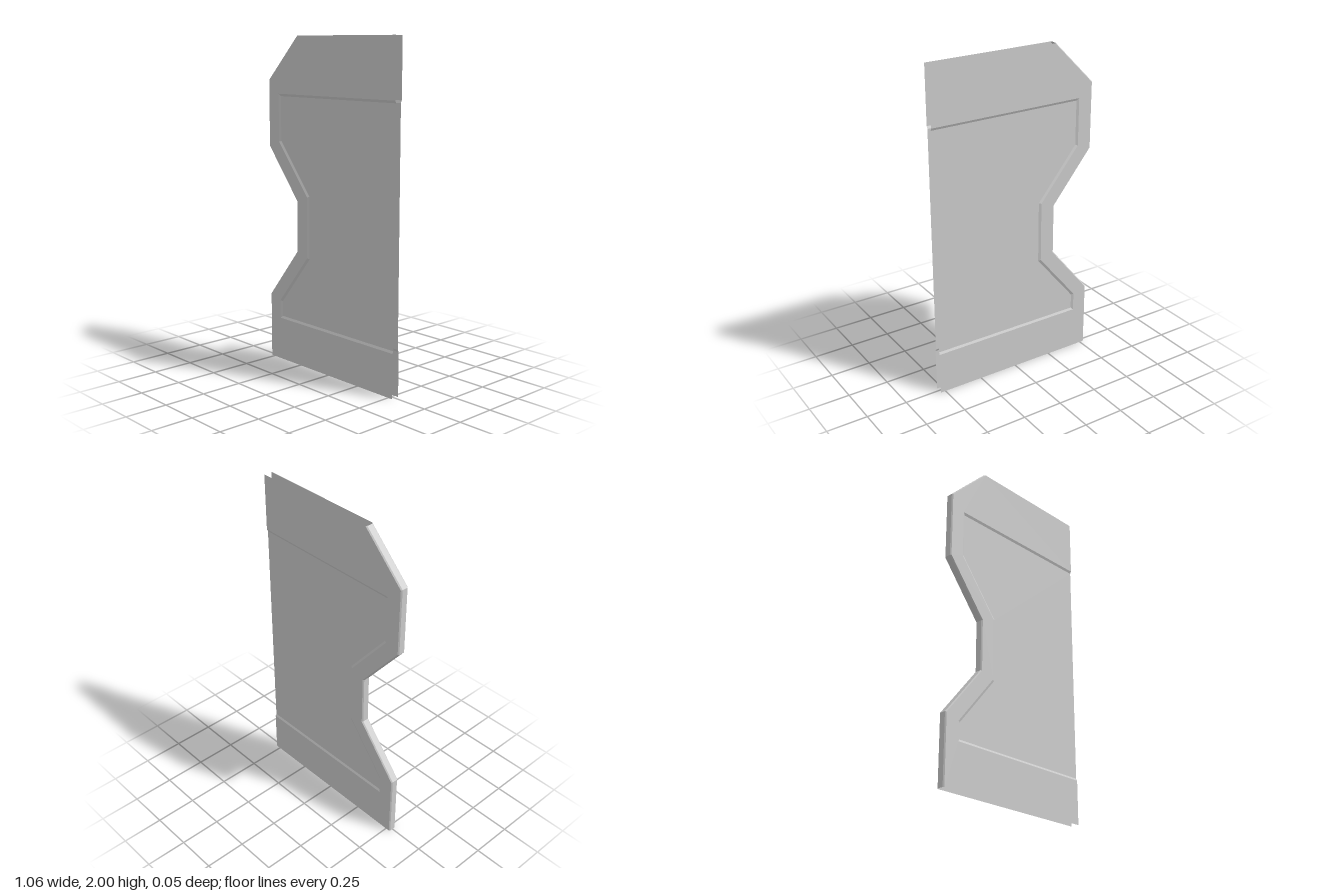
import * as THREE from 'three';

const FACE = 0.025;   // half thickness at the rim
const INNER = 0.018;  // half thickness at the recess and the edge wall
const RIGHT = 0.53;

// Profiles run from top to bottom along the notched side
const outline = [[-0.27, 2], [-0.53, 1.74], [-0.53, 1.335], [-0.275, 1.02],
  [-0.275, 0.715], [-0.53, 0.405], [-0.53, 0]];
const outlineInset = [[-0.262, 2], [-0.524, 1.738], [-0.524, 1.337], [-0.269, 1.022],
  [-0.269, 0.713], [-0.524, 0.403], [-0.524, 0]];
const recess = [[RIGHT, 1.657], [-0.437, 1.657], [-0.437, 1.368], [-0.182, 1.055],
  [-0.182, 0.686], [-0.437, 0.376], [-0.437, 0.263], [RIGHT, 0.263]];
const recessInset = [[RIGHT, 1.643], [-0.423, 1.643], [-0.423, 1.373], [-0.168, 1.06],
  [-0.168, 0.681], [-0.423, 0.371], [-0.423, 0.277], [RIGHT, 0.277]];

const material = new THREE.MeshStandardMaterial({
  color: 0xcccccc, flatShading: true, side: THREE.DoubleSide,
});

function addMesh(parent, name, geometry) {
  const mesh = new THREE.Mesh(geometry, material);
  mesh.name = name;
  parent.add(mesh);
}

// Band of quads between two matching profiles at two depths
function band(a, za, b, zb) {
  const pos = [];
  for (let i = 0; i < a.length - 1; i++) {
    const p = [[...a[i], za], [...a[i + 1], za], [...b[i + 1], zb], [...b[i], zb]];
    for (const k of [0, 1, 2, 0, 2, 3]) pos.push(...p[k]);
  }
  const g = new THREE.BufferGeometry();
  g.setAttribute('position', new THREE.Float32BufferAttribute(pos, 3));
  g.computeVertexNormals();
  return g;
}

// Flat sheet bounded by a list of points
function sheet(points, z) {
  const shape = new THREE.Shape(points.map(([x, y]) => new THREE.Vector2(x, y)));
  return new THREE.ShapeGeometry(shape).translate(0, 0, z);
}

// One skin: rim, step down, recessed panel and the chamfer on the notched side
function makeSkin(name) {
  const skin = new THREE.Group();
  skin.name = name;
  const rim = [...outlineInset, [RIGHT, 0], ...[...recess].reverse(), [RIGHT, 2]];
  addMesh(skin, 'rim', sheet(rim, FACE));
  addMesh(skin, 'recessStep', band(recess, FACE, recessInset, INNER));
  addMesh(skin, 'recessedPanel', sheet(recessInset, INNER));
  addMesh(skin, 'edgeChamfer', band(outline, INNER, outlineInset, FACE));
  return skin;
}

export function createModel() {
  const model = new THREE.Group();
  model.name = 'notchedPanel';

  const front = makeSkin('frontSkin');
  const back = makeSkin('backSkin');
  back.scale.z = -1;
  model.add(front, back);

  // Wall joining the skins; top, bottom and right side stay open
  addMesh(model, 'edgeWall', band(outline, -INNER, outline, INNER));
  return model;
}
